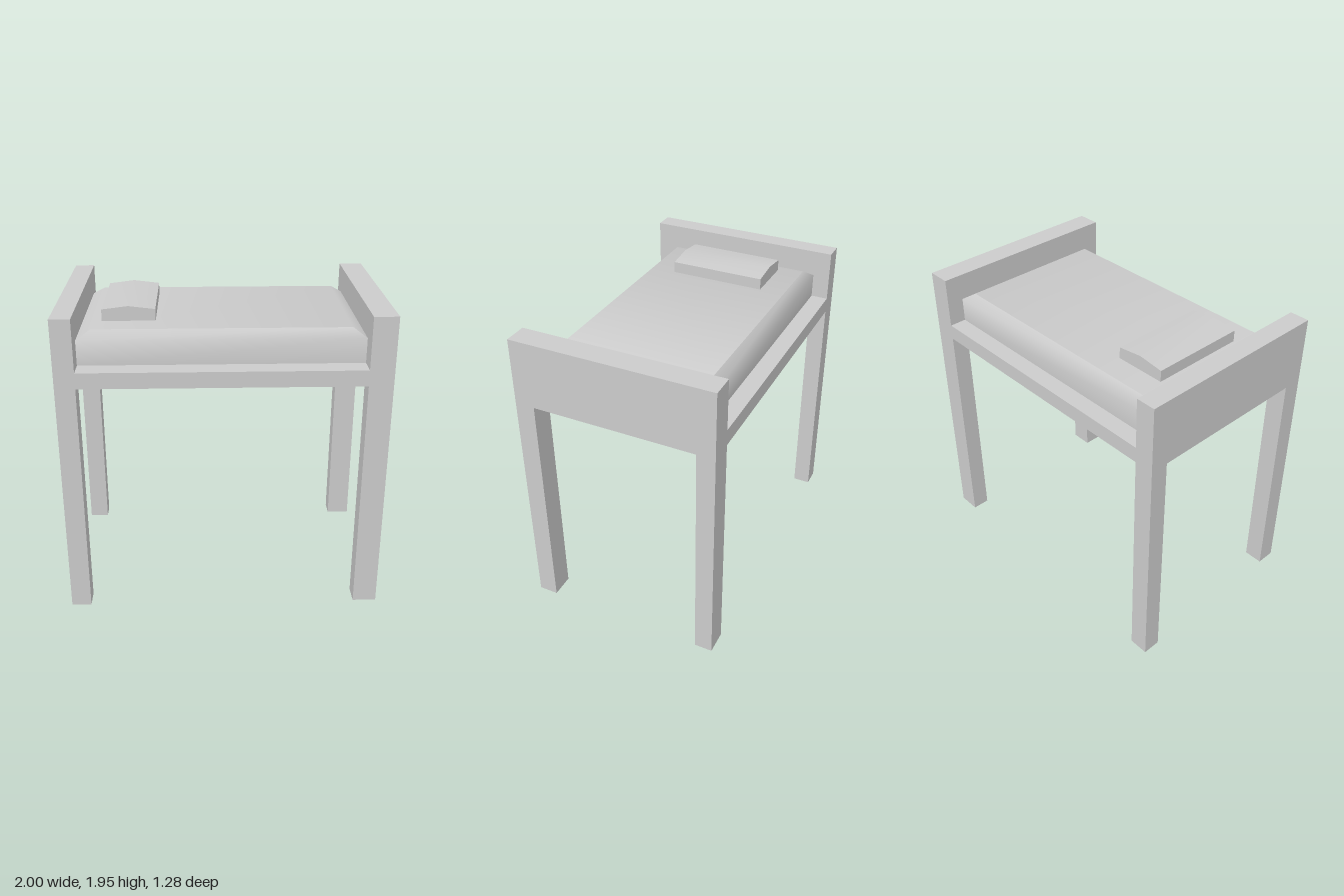
import * as THREE from 'three';
import { toCreasedNormals } from 'three/addons/utils/BufferGeometryUtils.js';

const material = new THREE.MeshStandardMaterial({ color: 0xcccccc });

export function createModel() {
  const group = new THREE.Group();

  function add(name, geometry) {
    const mesh = new THREE.Mesh(geometry, material);
    mesh.name = name;
    group.add(mesh);
    return mesh;
  }

  // Box given by its extents along each axis
  function block(name, [x0, x1], [y0, y1], [z0, z1]) {
    const geometry = new THREE.BoxGeometry(x1 - x0, y1 - y0, z1 - z0);
    geometry.translate((x0 + x1) / 2, (y0 + y1) / 2, (z0 + z1) / 2);
    return add(name, geometry);
  }

  const railY = 1.52, deckY = 1.62, topY = 1.945, depth = 0.64;

  // End panels, each standing on two square legs
  const ends = [['head', [-1, -0.875]], ['foot', [0.85, 1]]];
  for (const [end, x] of ends) {
    block(end + 'Board', x, [railY, topY], [-depth, depth]);
    block(end + 'FrontLeg', x, [0, railY], [0.515, depth]);
    block(end + 'BackLeg', x, [0, railY], [-depth, -0.525]);
  }

  // Bed deck between the end panels
  block('deck', [-0.875, 0.85], [railY, deckY], [-depth, depth]);

  // Mattress: rectangular rings [x0, x1, y, z0, z1] joined by side faces
  const rings = [
    [-0.875, 0.85, deckY, -0.53, 0.51],
    [-0.875, 0.85, 1.775, -0.53, 0.51],
    [-0.79, 0.77, 1.828, -0.48, 0.46],
  ];
  const points = [], faces = [];
  for (const [x0, x1, y, z0, z1] of rings) {
    points.push(x0, y, z1, x1, y, z1, x1, y, z0, x0, y, z0);
  }
  for (let r = 0; r < 2; r++) {
    for (let i = 0; i < 4; i++) {
      const a = r * 4 + i, b = r * 4 + (i + 1) % 4;
      faces.push(a, b, b + 4, a, b + 4, a + 4);
    }
  }
  faces.push(8, 9, 10, 8, 10, 11, 0, 2, 1, 0, 3, 2);
  const mattress = new THREE.BufferGeometry();
  mattress.setAttribute('position', new THREE.Float32BufferAttribute(points, 3));
  mattress.setIndex(faces);
  add('mattress', toCreasedNormals(mattress, 0.76));

  // Pillow with a low ridge across its top
  const profile = new THREE.Shape([
    [-0.737, 1.82], [-0.41, 1.82], [-0.41, 1.9], [-0.575, 1.92], [-0.737, 1.9],
  ].map(([x, y]) => new THREE.Vector2(x, y)));
  const pillow = new THREE.ExtrudeGeometry(profile, { depth: 0.615, bevelEnabled: false });
  pillow.translate(0, 0, -0.32);
  add('pillow', toCreasedNormals(pillow, 0.6));

  return group;
}
